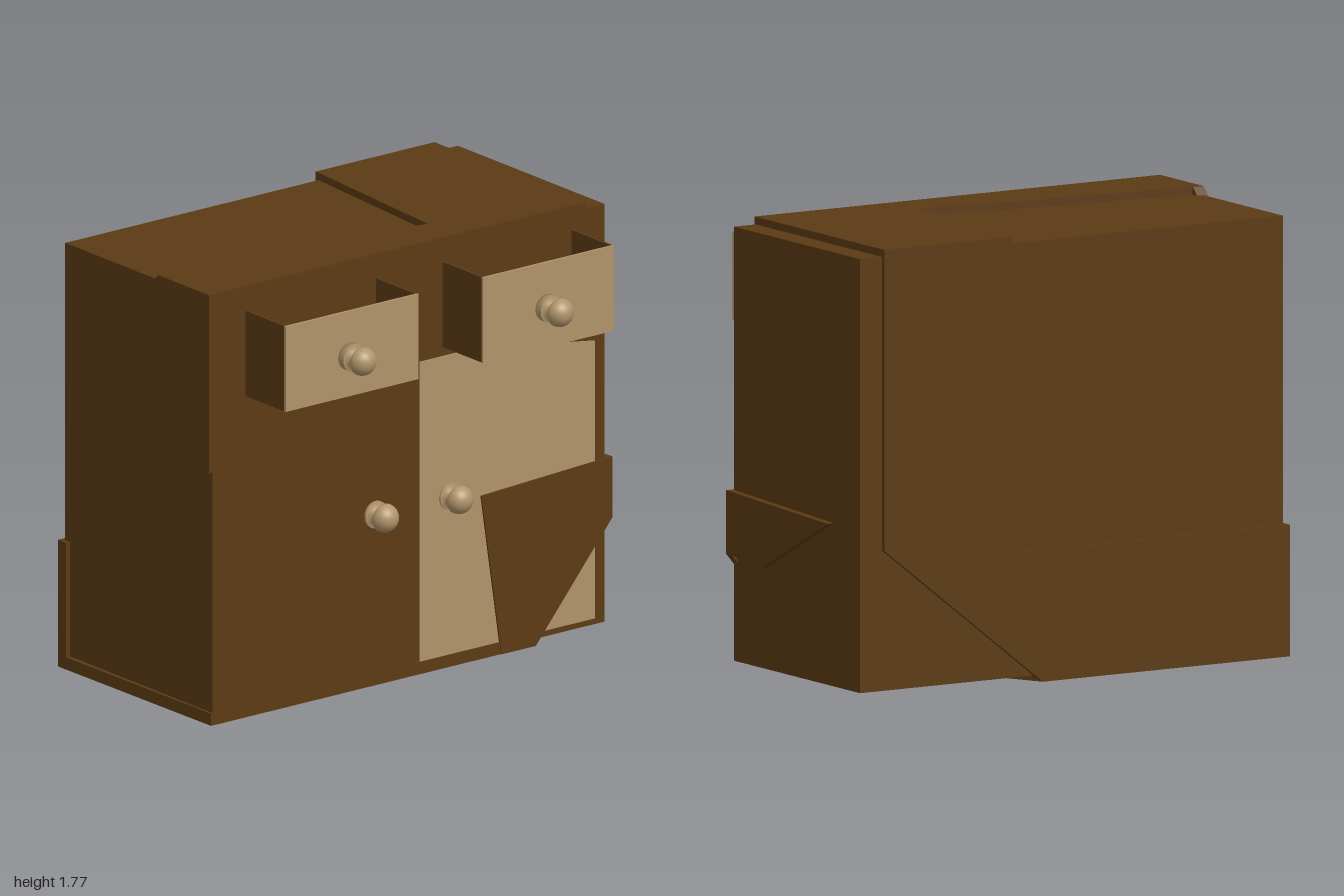
import * as THREE from 'three';

const brown = new THREE.MeshStandardMaterial({ color: 0x5c3a14, side: THREE.DoubleSide });
const tan = new THREE.MeshStandardMaterial({ color: 0xb0946a });

// Maps (u, v, depth) of an extruded outline to the plate's plane
const planes = {
  x: (u, v, w) => [-w, v, u], // outline in (z, y), extruded towards -x
  y: (u, v, w) => [u, -w, v], // outline in (x, z), extruded towards -y
  z: (u, v, w) => [u, v, w],  // outline in (x, y), extruded towards +z
};

export function createModel() {
  const model = new THREE.Group();

  const add = (parent, name, geometry, material) => {
    const mesh = new THREE.Mesh(geometry, material);
    mesh.name = name;
    parent.add(mesh);
    return mesh;
  };

  // Box given by its lower and upper limits
  const box = (parent, name, [x0, y0, z0], [x1, y1, z1], material) => {
    const mesh = add(parent, name, new THREE.BoxGeometry(x1 - x0, y1 - y0, z1 - z0), material);
    mesh.position.set((x0 + x1) / 2, (y0 + y1) / 2, (z0 + z1) / 2);
  };

  // Flat plate with a polygon outline, starting at `start` along its axis
  const plate = (name, axis, start, depth, outline, material = brown) => {
    const shape = new THREE.Shape(outline.map(([u, v]) => new THREE.Vector2(u, v)));
    const geometry = new THREE.ExtrudeGeometry(shape, { depth, bevelEnabled: false });
    const p = geometry.attributes.position;
    for (let i = 0; i < p.count; i++) p.setXYZ(i, ...planes[axis](p.getX(i), p.getY(i), p.getZ(i)));
    geometry.computeVertexNormals();
    add(model, name, geometry, material).position[axis] = start;
  };

  // Carcass core
  box(model, 'carcass', [-0.65, 0.025, -0.97], [0.272, 1.74, 0.98], brown);

  // Raised, broken-edged panels around the carcass
  plate('topPanel', 'y', 1.77, 0.05, [
    [-0.67, -0.28], [0.11, -0.22], [0.05, 0.09], [-0.04, 1], [0.28, 1], [0.28, -0.87], [-0.67, -0.87]]);
  plate('drawerRail', 'x', 0.28, 0.05, [
    [1, 1.77], [1, 1.04], [0.82, 1.06], [0.32, 1.3], [-0.33, 1.3], [-0.82, 1.23], [-0.87, 1.77]]);
  plate('backPanel', 'x', -0.62, 0.05, [
    [-0.87, 1.77], [-0.28, 1.77], [-0.28, 0.52], [1, 0.52], [1, 0], [-0.14, 0], [-0.87, 0.58]]);
  plate('upperSidePanel', 'z', 0.95, 0.05, [
    [0.28, 1.77], [-0.04, 1.77], [-0.22, 1.58], [0.23, 1.04], [0.28, 1.04]]);
  plate('lowerSideStrip', 'z', 0.95, 0.05, [[-0.67, 0.52], [-0.62, 0.52], [-0.65, 0], [-0.67, 0]]);
  plate('basePanel', 'y', 0.05, 0.05, [[-0.67, -0.14], [0.28, -0.62], [0.28, 0.99], [-0.67, 1]]);

  // Splintered panel wrapping round one front corner
  plate('cornerPanelFront', 'x', 0.284, 0.04, [
    [-0.35, 0.67], [-1, 0.7], [-1, 0.45], [-0.62, 0], [-0.45, 0]]);
  plate('cornerPanelSide', 'z', -1, 0.05, [[0.28, 0.7], [-0.46, 0.67], [0.02, 0.43], [0.28, 0.45]]);

  // Doors
  plate('brownDoor', 'x', 0.275, 0.02, [
    [0.98, 0.03], [0.98, 1.04], [0.82, 1.06], [0.32, 1.3], [0, 1.3], [0, 0.03]]);
  plate('paleDoor', 'x', 0.277, 0.02, [
    [-0.05, 0.05], [-0.05, 1.28], [-0.33, 1.28], [-0.92, 1.19], [-0.92, 0.05]], tan);

  // Open drawers with pale fronts
  for (const [z0, z1] of [[0.16, 0.82], [-0.81, -0.16]]) {
    const drawer = new THREE.Group();
    drawer.name = 'drawer';
    model.add(drawer);
    box(drawer, 'drawerBottom', [0.27, 1.32, z0], [0.525, 1.335, z1], brown);
    box(drawer, 'drawerSide', [0.27, 1.32, z0], [0.525, 1.67, z0 + 0.01], brown);
    box(drawer, 'drawerSide', [0.27, 1.32, z1 - 0.01], [0.525, 1.67, z1], brown);
    box(drawer, 'drawerFront', [0.525, 1.32, z0], [0.535, 1.67, z1], tan);
  }

  // Turned mushroom knobs: collar, neck and domed head
  const dome = Array.from({ length: 9 }, (_, i) => {
    const a = (i / 8) * Math.PI / 2;
    return [0.058 * Math.cos(a), 0.085 + 0.057 * Math.sin(a)];
  });
  const profile = [[0, 0], [0.055, 0], [0.055, 0.038], [0.055, 0.038], [0.03, 0.042], [0.03, 0.075], [0.05, 0.078], ...dome];
  const knobGeometry = new THREE.LatheGeometry(profile.map(([r, h]) => new THREE.Vector2(Math.max(r, 0), h)), 24);
  knobGeometry.rotateZ(-Math.PI / 2);
  for (const [name, x, y, z] of [
    ['drawerKnob', 0.53, 1.485, 0.505], ['drawerKnob', 0.53, 1.485, -0.475],
    ['doorKnob', 0.247, 0.7, 0.17], ['doorKnob', 0.247, 0.7, -0.2]]) {
    add(model, name, knobGeometry, tan).position.set(x, y, z);
  }

  return model;
}
